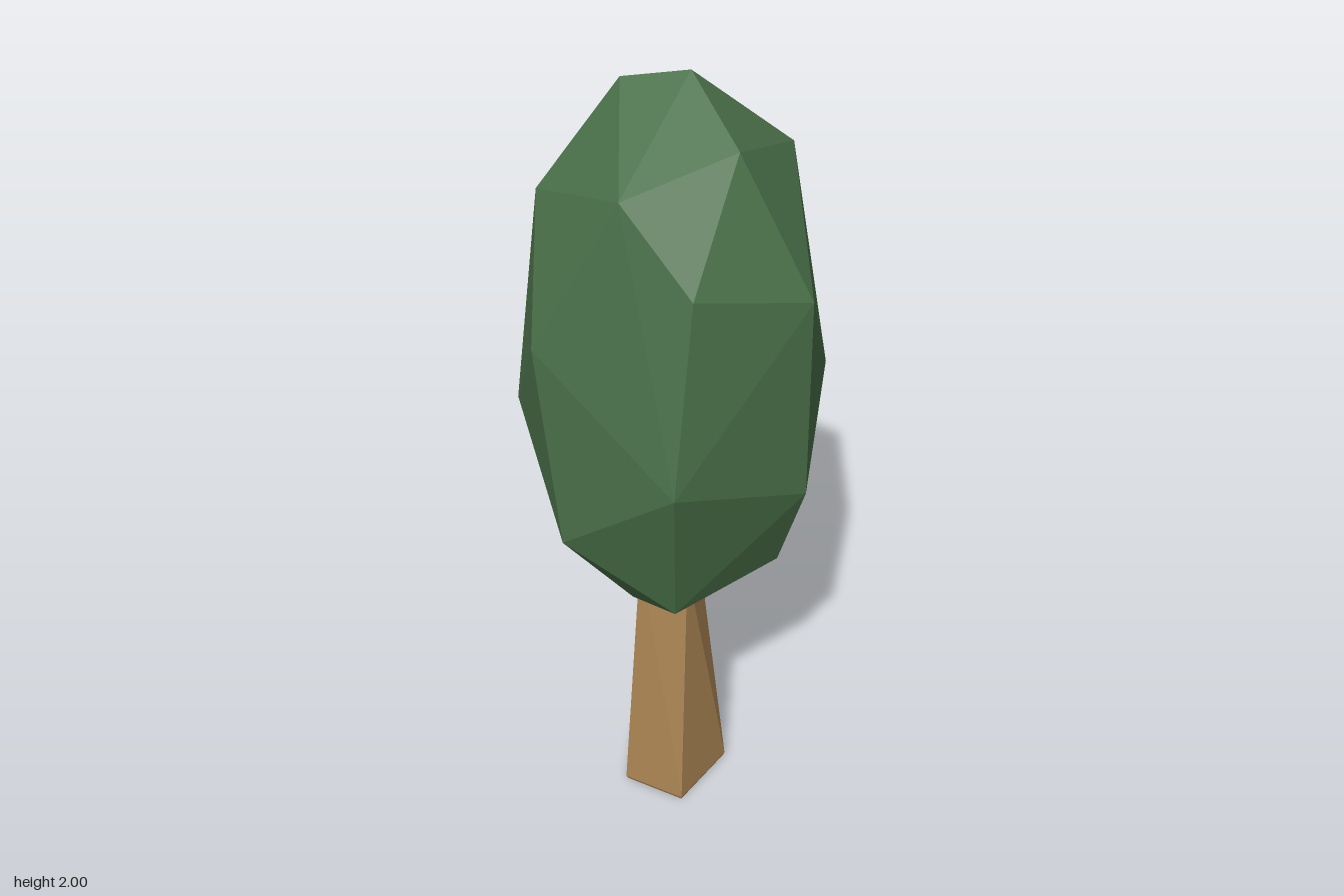
import * as THREE from 'three';
import { ConvexGeometry } from 'three/addons/geometries/ConvexGeometry.js';

const leafGreen = new THREE.MeshStandardMaterial({ color: 0x4a7049 });
leafGreen.name = 'leafGreen';
const barkBrown = new THREE.MeshStandardMaterial({ color: 0xa98352 });
barkBrown.name = 'barkBrown';

// Faceted solid spanned by a handful of corner points
function facetedSolid(name, points, material) {
  const geometry = new ConvexGeometry(points.map((p) => new THREE.Vector3(...p)));
  const mesh = new THREE.Mesh(geometry, material);
  mesh.name = name;
  return mesh;
}

export function createModel() {
  const tree = new THREE.Group();
  tree.name = 'tree';

  // Trunk: five-sided foot with a tiny bevel, twisting into a three-sided top inside the crown
  const foot = [[-0.045, 0.155], [0.13, 0.05], [0.07, -0.1], [-0.075, -0.125], [-0.155, 0.025]];
  const neck = [[0, 0.08], [0.073, -0.03], [-0.092, -0.005]];
  tree.add(facetedSolid('trunk', [
    ...foot.map(([x, z]) => [x * 0.96, 0, z * 0.96]),
    ...foot.map(([x, z]) => [x, 0.012, z]),
    ...neck.map(([x, z]) => [x, 0.75, z]),
  ], barkBrown));

  // Crown: irregular egg of large flat facets, listed from the tip down
  tree.add(facetedSolid('crown', [
    // tip
    [0.04, 2.0, -0.01], [-0.09, 1.98, -0.08], [0.06, 1.9, 0.19],
    // shoulder
    [-0.2, 1.84, 0.19], [0.265, 1.82, 0.025], [-0.28, 1.76, -0.09], [0.16, 1.75, -0.25],
    [-0.095, 1.66, 0.32], [0.185, 1.59, 0.305], [-0.18, 1.58, -0.29],
    // waist
    [-0.365, 1.48, 0.085], [0, 1.4, -0.365], [0.36, 1.26, 0.06], [-0.155, 1.21, 0.365],
    [-0.32, 1.175, -0.2], [0.295, 1.17, -0.215], [0.2, 1.08, 0.295],
    // underside
    [-0.33, 0.97, 0.12], [-0.01, 0.9, -0.31], [0.26, 0.87, -0.07], [0.19, 0.81, 0.19],
    [-0.1, 0.77, 0.24], [-0.19, 0.7, -0.09], [-0.115, 0.635, 0.0], [0.1, 0.63, 0.0],
  ], leafGreen));

  return tree;
}
